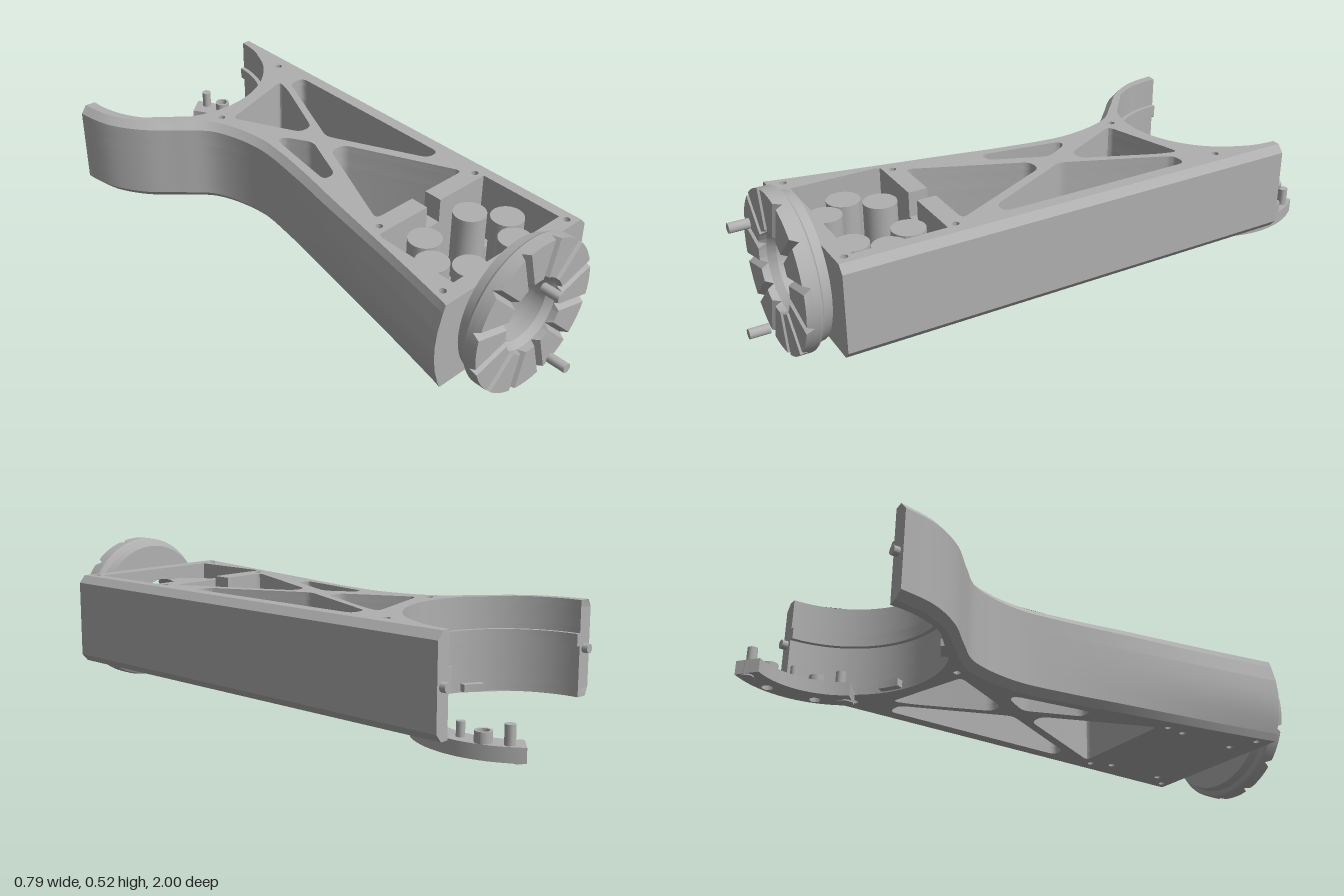
import * as THREE from 'three';
import { toCreasedNormals } from 'three/addons/utils/BufferGeometryUtils.js';

const V = (x, y) => new THREE.Vector2(x, y);
const grey = new THREE.MeshStandardMaterial({ color: 0xb0b0b0 });
grey.name = 'light grey';

export function createModel() {
  const model = new THREE.Group();
  model.name = 'bracketArm';

  const add = (name, geo, x = 0, y = 0, z = 0) => {
    const mesh = new THREE.Mesh(toCreasedNormals(geo, 0.5), grey);
    mesh.name = name;
    mesh.position.set(x, y, z);
    model.add(mesh);
    return mesh;
  };

  // Polygon corners rounded with short curves; open chains keep their end points
  const rounded = (list, r, closed = true) => {
    const n = list.length, out = [];
    list.forEach(([x, y], i) => {
      const p = V(x, y);
      if (!closed && (i === 0 || i === n - 1)) return out.push(p);
      const toward = ([a, b]) => {
        const d = V(a, b).sub(p);
        return p.clone().addScaledVector(d, Math.min(r / d.length(), 0.45));
      };
      const a = toward(list[(i + n - 1) % n]), b = toward(list[(i + 1) % n]);
      out.push(...new THREE.QuadraticBezierCurve(a, p, b).getPoints(4));
    });
    return out;
  };
  const circle = (x, y, r, n = 16) => Array.from({ length: n }, (_, i) =>
    V(x + r * Math.cos(i / n * Math.PI * 2), y + r * Math.sin(i / n * Math.PI * 2)));
  const arc = (r, a0, a1, n = 32) => Array.from({ length: n + 1 }, (_, i) => {
    const a = a0 + (a1 - a0) * i / n;
    return V(r * Math.cos(a), r * Math.sin(a));
  });
  const extrude = (outline, holes, depth, steps = 1) => {
    const shape = new THREE.Shape(outline);
    shape.holes = holes.map(h => new THREE.Path(h));
    return new THREE.ExtrudeGeometry(shape, { depth, steps, bevelEnabled: false });
  };
  // Plan shape drawn in x and z, filled between two heights
  const slab = (outline, holes, y0, y1, steps) =>
    extrude(outline, holes, y1 - y0, steps).rotateX(Math.PI / 2).translate(0, y1, 0);
  const lathe = (profile, n = 24) =>
    new THREE.LatheGeometry([...profile, profile[0]].map(p => V(...p)), n);
  const tube = (ri, ro, h, n) => lathe([[ri, 0], [ro, 0], [ro, h], [ri, h]], n);
  const rod = (r, h) => new THREE.CylinderGeometry(r, r, h, 24);

  // ---- Body: waisted left edge, straight right edge, round cradle at the back
  const leftCurve = new THREE.SplineCurve([[-0.275, 0.8], [-0.232, 0.6], [-0.19, 0.4],
    [-0.148, 0.2], [-0.105, 0], [-0.08, -0.2], [-0.12, -0.38], [-0.21, -0.48],
    [-0.305, -0.57], [-0.372, -0.68], [-0.397, -0.8]].map(p => V(...p)));
  const leftPts = leftCurve.getPoints(50);
  const leftIn = leftPts.map((_, i) => {
    const t = leftCurve.getTangent(i / 50);
    return V(-t.y, t.x);
  });
  const cradle = arc(0.34, Math.PI, 0, 48).map(p => V(p.x, p.y - 0.8));
  const bodyOutline = front =>
    [V(0.39, -0.8), V(0.39, 0.8), ...front, ...leftPts, ...cradle];

  // Chamfered top and bottom edges; the left wall swells outward toward the front
  const shapeEdges = geo => {
    const pos = geo.attributes.position;
    for (let i = 0; i < pos.count; i++) {
      const x = pos.getX(i), y = pos.getY(i), z = pos.getZ(i);
      const chamfer = 0.88 * Math.max(0, 0.13 - y, y - 0.39);
      if (x > 0.3895) { pos.setX(i, x - chamfer); continue; }
      const k = leftPts.findIndex(p => Math.hypot(p.x - x, p.y - z) < 1e-4);
      if (k < 0) continue;
      const swell = 0.035 * ((y - 0.26) / 0.155) ** 2;
      const d = THREE.MathUtils.lerp(chamfer, swell, THREE.MathUtils.smoothstep(z, -0.2, 0.8));
      pos.setX(i, x + leftIn[k].x * d);
      pos.setZ(i, z + (k === 0 ? 0 : leftIn[k].y * d));
    }
    return geo;
  };

  const windows = [
    [[-0.045, -0.385], [0.245, -0.47], [0.225, -0.4], [0.12, -0.16], [0.07, -0.16]],
    [[-0.025, -0.17], [0.005, -0.17], [0.058, -0.08], [-0.02, 0.11], [-0.068, 0.11]],
    [[0.265, -0.435], [0.325, -0.435], [0.325, 0.245], [0.275, 0.245], [0.115, -0.08]],
  ].map(w => rounded(w, 0.025));
  const rear = [[0.125, 0.375], [0.3, 0.375], [0.12, 0], [0.065, 0], [-0.095, 0.375], [0.065, 0.375]];
  const rearWindow = rounded(rear, 0.025, false);
  const screwHoles = [[0.32, -0.565], [-0.07, -0.415], [-0.115, 0.41], [0.32, 0.41],
    [-0.2, 0.75], [0.335, 0.77]].map(([x, z]) => circle(x, z, 0.012));
  const bossSpots = [[-0.105, 0.485], [0.29, 0.485], [-0.105, 0.71], [0.29, 0.71]];
  const bossHoles = bossSpots.map(([x, z]) => circle(x, z, 0.012));

  const bayRight = [V(0.31, 0.8), V(0.31, 0.745), V(0.33, 0.745), V(0.33, 0.44)];
  const bayLeft = [V(-0.15, 0.44), V(-0.15, 0.8)];
  const bay = bodyOutline([...bayRight, ...bayLeft]);
  const bayWithChannel = bodyOutline([...bayRight, V(0.125, 0.44), ...rearWindow,
    V(0.065, 0.44), ...bayLeft]);
  const open = [...windows, ...screwHoles];

  add('bodyFloor', shapeEdges(slab(bodyOutline([]), [...open, rearWindow, ...bossHoles], 0.105, 0.13)));
  add('bodyWalls', shapeEdges(slab(bay, [...open, rearWindow], 0.13, 0.33, 4)));
  add('bodyUpperWalls', shapeEdges(slab(bayWithChannel, open, 0.33, 0.39)));
  add('bodyTopEdge', shapeEdges(slab(bayWithChannel, open, 0.39, 0.415)));
  add('frontWall', extrude([V(-0.15, 0.13), V(0.31, 0.13), V(0.31, 0.415), V(-0.15, 0.415)],
    [circle(0.06, 0.26, 0.115, 48)], 0.055), 0, 0, 0.745);

  // ---- Equipment bay: six posts and four screw bosses
  for (const z of [0.505, 0.69]) for (const x of [-0.01, 0.195])
    add('bayPost', rod(0.055, 0.24), x, 0.25, z);
  for (const x of [-0.08, 0.265]) add('bayPost', rod(0.055, 0.24), x, 0.25, 0.6);
  for (const [x, z] of bossSpots) add('screwBoss', tube(0.012, 0.028, 0.06), x, 0.13, z);

  // ---- Cradle: inner rib, locating tabs and end pins
  const arcPlate = (r0, r1, a0, a1, y0, y1, holes = []) =>
    slab([...arc(r1, a0, a1), ...arc(r0, a1, a0)], holes, y0, y1);
  add('cradleRib', arcPlate(0.325, 0.342, 0, Math.PI, 0.27, 0.31), 0, 0, -0.8);
  for (const s of [-1, 1]) {
    const a = Math.PI / 2 + s * 0.54;
    add('cradleTab', arcPlate(0.315, 0.342, a - 0.11, a + 0.11, 0.11, 0.135), 0, 0, -0.8);
    add('endPin', rod(0.015, 0.04).rotateX(Math.PI / 2), s * 0.367, 0.26, -0.8);
  }

  // ---- Hub: turned flange with twelve tapered radial grooves
  add('hubFlange', lathe([[0.115, 0.8], [0.235, 0.8], [0.242, 0.83], [0.256, 0.838],
    [0.26, 0.845], [0.26, 0.865], [0.13, 0.865], [0.115, 0.84]], 72).rotateX(Math.PI / 2), 0.06, 0.26, 0);
  const half = r => Math.PI / 12 - Math.asin(0.014 / r);
  const tooth = extrude([...arc(0.26, -half(0.26), half(0.26), 8),
    ...arc(0.13, half(0.13), -half(0.13), 8)], [], 0.025);
  const tp = tooth.attributes.position;
  for (let i = 0; i < tp.count; i++) {
    if (tp.getZ(i) > 0.01) continue;
    const r = Math.hypot(tp.getX(i), tp.getY(i));
    const a = Math.atan2(tp.getY(i), tp.getX(i)) * (Math.PI / 12) / half(r);
    tp.setXY(i, r * Math.cos(a), r * Math.sin(a));
  }
  for (let k = 0; k < 12; k++)
    add('hubTooth', tooth, 0.06, 0.26, 0.865).rotation.z = k * Math.PI / 6;
  for (const [x, y] of [[0.017, 0.42], [0.102, 0.102]])
    add('dowelPin', rod(0.016, 0.065).rotateX(Math.PI / 2), x, y, 0.967);

  // ---- Separate curved clip under the cradle, with pegs and eyelets
  const eyes = [-0.08, 0.08].map(z => [0.285, z]);
  add('clipPlate', arcPlate(0.242, 0.322, -0.67, 0.67, 0.06, 0.105,
    eyes.map(([x, z]) => circle(x, z, 0.018))), 0, 0, -0.8);
  for (const [x, z] of eyes) add('clipEyelet', tube(0.018, 0.026, 0.035), x, 0.104, z - 0.8);
  for (const s of [-1, 1]) {
    add('clipPeg', rod(0.016, 0.105), 0.26, 0.112, -0.8 + s * 0.15);
    add('clipFoot', rod(0.02, 0.05), 0.24, 0.08, -0.8 + s * 0.165);
  }
  add('clipCentrePeg', rod(0.013, 0.09), 0.28, 0.105, -0.8);

  return model;
}
